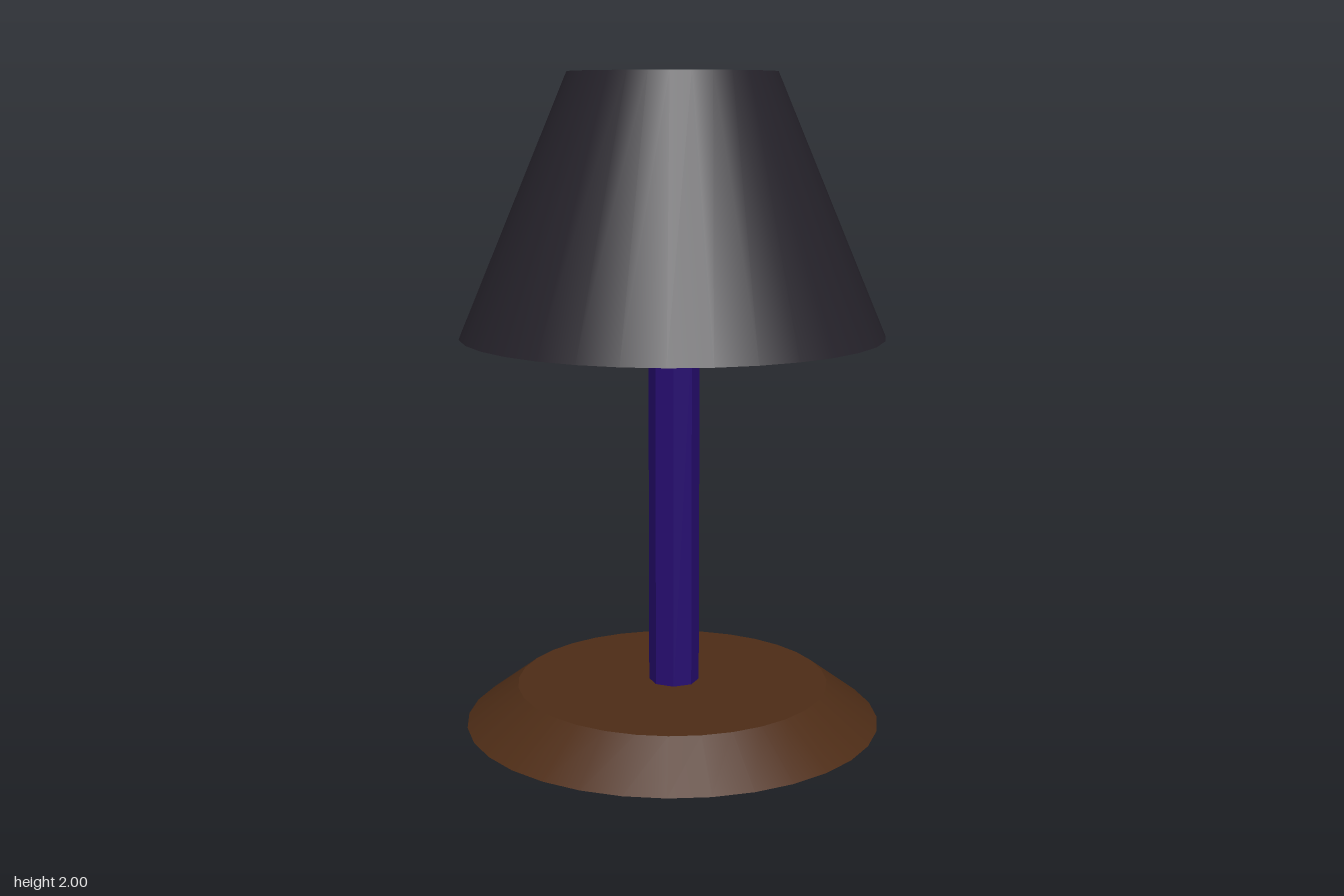
import * as THREE from 'three';

// Adds a vertical frustum standing between two heights
function frustum(group, name, color, rTop, rBottom, y0, y1, sides, flatShading = false) {
  const mesh = new THREE.Mesh(
    new THREE.CylinderGeometry(rTop, rBottom, y1 - y0, sides),
    new THREE.MeshStandardMaterial({ color, flatShading })
  );
  mesh.name = name;
  mesh.position.y = (y0 + y1) / 2;
  group.add(mesh);
  return mesh;
}

export function createModel() {
  const lamp = new THREE.Group();
  lamp.name = 'tableLamp';

  // Wide bevelled foot
  frustum(lamp, 'base', 0x4d2c16, 0.485, 0.645, 0, 0.12, 32);

  // Octagonal stem, very slightly off centre
  const pole = frustum(lamp, 'pole', 0x260c70, 0.078, 0.078, 0.1, 1.23, 8, true);
  pole.position.x = 0.007;

  // Closed conical shade
  frustum(lamp, 'lampshade', 0x25222a, 0.314, 0.645, 1.215, 2, 32);

  return lamp;
}
